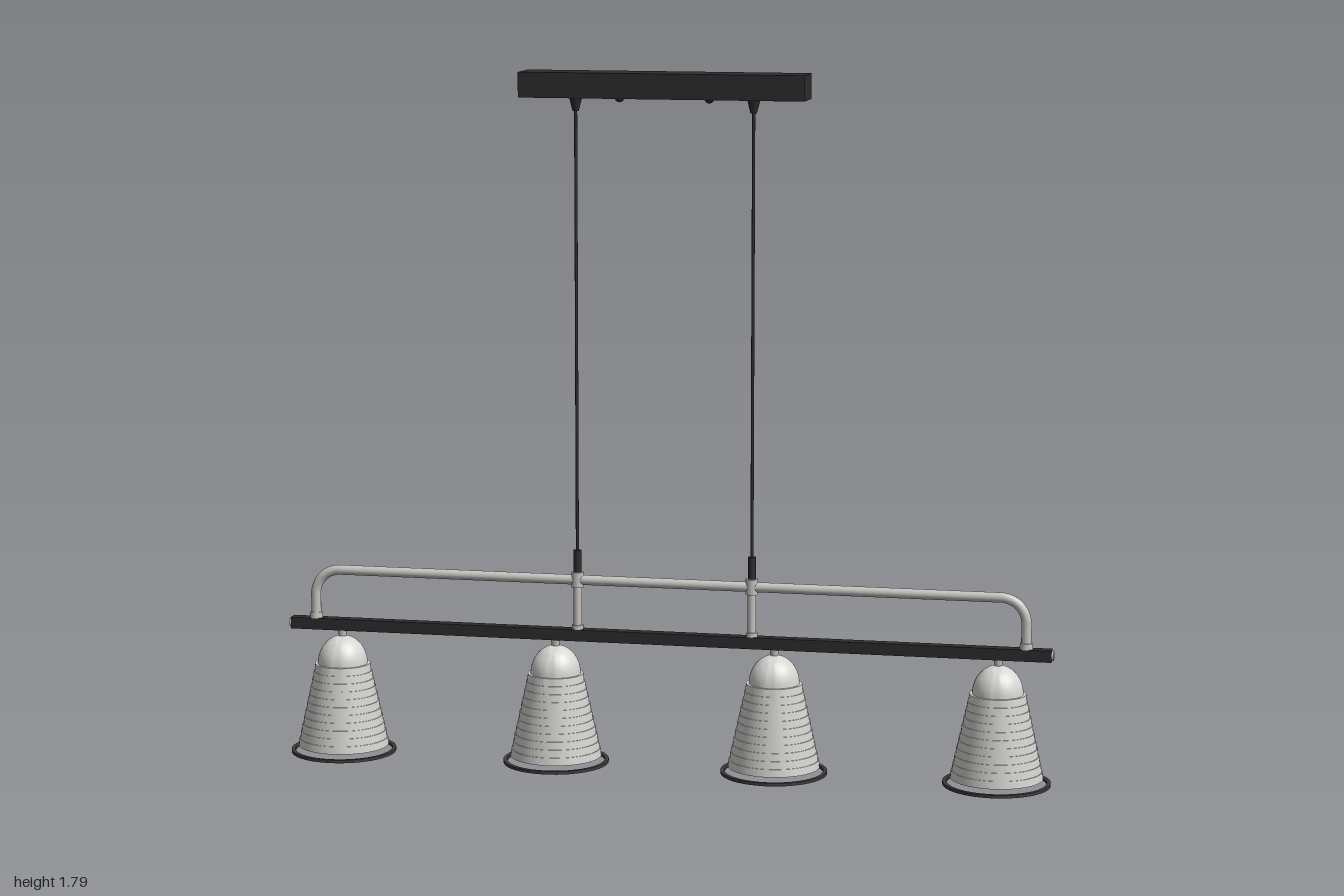
import * as THREE from 'three';
import { toCreasedNormals } from 'three/addons/utils/BufferGeometryUtils.js';

const mat = (name, color, side = THREE.FrontSide) => {
  const m = new THREE.MeshStandardMaterial({ color, side });
  m.name = name;
  return m;
};

export function createModel() {
  const black = mat('black metal', 0x2b2b2b);
  const steel = mat('brushed steel', 0xc6c4c0);
  const shadeWhite = mat('shade off-white', 0xd6d6d2, THREE.DoubleSide);
  const bulbWhite = mat('bulb white', 0xcfcfcc);
  const ringDark = mat('ring dark grey', 0x3c3c3c);

  const model = new THREE.Group();
  model.name = 'pendantLamp';

  const add = (parent, name, geometry, material, x = 0, y = 0, z = 0) => {
    const mesh = new THREE.Mesh(geometry, material);
    mesh.name = name;
    mesh.position.set(x, y, z);
    parent.add(mesh);
    return mesh;
  };
  // Upright cylinder given by its bottom and top heights
  const post = (parent, name, rTop, rBottom, y0, y1, material, x = 0) =>
    add(parent, name, new THREE.CylinderGeometry(rTop, rBottom, y1 - y0, 24), material, x, (y0 + y1) / 2);
  const lathe = (points) => toCreasedNormals(
    new THREE.LatheGeometry(points.map(([r, y]) => new THREE.Vector2(r, y)), 48), 0.5);

  // Ceiling box and the long lamp rail
  add(model, 'ceilingBox', new THREE.BoxGeometry(0.73, 0.064, 0.104), black, 0, 1.757, 0);
  add(model, 'rail', new THREE.BoxGeometry(1.99, 0.03, 0.03), black, 0, 0.34, 0);

  // Arched steel tube with rounded corners
  const arch = new THREE.CurvePath();
  const v = (x, y) => new THREE.Vector3(x, y, 0);
  const X = 0.93, Y = 0.484, R = 0.06;
  arch.add(new THREE.LineCurve3(v(-X, 0.35), v(-X, Y - R)));
  arch.add(new THREE.QuadraticBezierCurve3(v(-X, Y - R), v(-X + 0.008, Y - 0.008), v(-X + R, Y)));
  arch.add(new THREE.LineCurve3(v(-X + R, Y), v(X - R, Y)));
  arch.add(new THREE.QuadraticBezierCurve3(v(X - R, Y), v(X - 0.008, Y - 0.008), v(X, Y - R)));
  arch.add(new THREE.LineCurve3(v(X, Y - R), v(X, 0.35)));
  add(model, 'archTube', new THREE.TubeGeometry(arch, 200, 0.013, 16), steel);

  for (const s of [-1, 1]) {
    // Suspension: cable, grips, and the post between arch and rail
    const x = s * 0.228;
    post(model, 'cable', 0.004, 0.004, 0.55, 1.71, black, x);
    post(model, 'cableCone', 0.017, 0.008, 1.69, 1.726, black, x);
    post(model, 'cableGrip', 0.01, 0.01, 0.505, 0.562, black, x);
    post(model, 'railPost', 0.011, 0.011, 0.354, 0.505, steel, x);
    post(model, 'postCollar', 0.016, 0.016, 0.465, 0.505, steel, x);
    post(model, 'postFoot', 0.015, 0.015, 0.354, 0.366, steel, x);
    // Arch feet, rail end caps and ceiling box screws
    post(model, 'archFoot', 0.016, 0.017, 0.354, 0.37, steel, s * X);
    const cap = post(model, 'railEndCap', 0.013, 0.013, 0, 0.01, steel, s * 0.995);
    cap.position.y = 0.34;
    cap.rotation.z = Math.PI / 2;
    add(model, 'screw', new THREE.SphereGeometry(0.012, 16, 10), black, s * 0.115, 1.725, 0);
  }

  // Outer shade profile: stepped bands from the rim up to the dome
  const bands = 11, rim = 0.018, shoulder = 0.236;
  const profile = [];
  for (let i = 0; i < bands; i++) {
    const r = THREE.MathUtils.lerp(0.118, 0.074, i / (bands - 1));
    const y = (k) => THREE.MathUtils.lerp(rim, shoulder, k / bands);
    profile.push([r, y(i)], [r - 0.0022, y(i + 1)]);
  }
  for (let i = 0; i <= 12; i++) {
    const a = (i / 12) * Math.PI / 2;
    profile.push([0.065 * Math.cos(a), shoulder + 0.074 * Math.sin(a)]);
  }
  const shadeGeo = lathe(profile);
  const linerGeo = lathe([[0.118, rim], [0.113, rim], [0.065, 0.232], [0.045, 0.275], [0, 0.292]]);
  const bulbGeo = lathe([[0, 0.01], [0.02, 0.013], [0.04, 0.025], [0.053, 0.045], [0.057, 0.068],
    [0.053, 0.092], [0.04, 0.12], [0.027, 0.15], [0.023, 0.18], [0.023, 0.28]]);
  const ringGeo = lathe([[0.127, 0], [0.137, 0], [0.137, 0.008], [0.127, 0.008], [0.127, 0]]);

  // Four identical lamps
  for (const x of [-0.86, -0.287, 0.287, 0.86]) {
    const lamp = new THREE.Group();
    lamp.name = 'lamp';
    lamp.position.x = x;
    add(lamp, 'shade', shadeGeo, shadeWhite);
    add(lamp, 'shadeLiner', linerGeo, shadeWhite);
    add(lamp, 'bulb', bulbGeo, bulbWhite);
    add(lamp, 'rimRing', ringGeo, ringDark);
    post(lamp, 'neck', 0.012, 0.009, 0.3, 0.326, steel);
    model.add(lamp);
  }
  return model;
}
